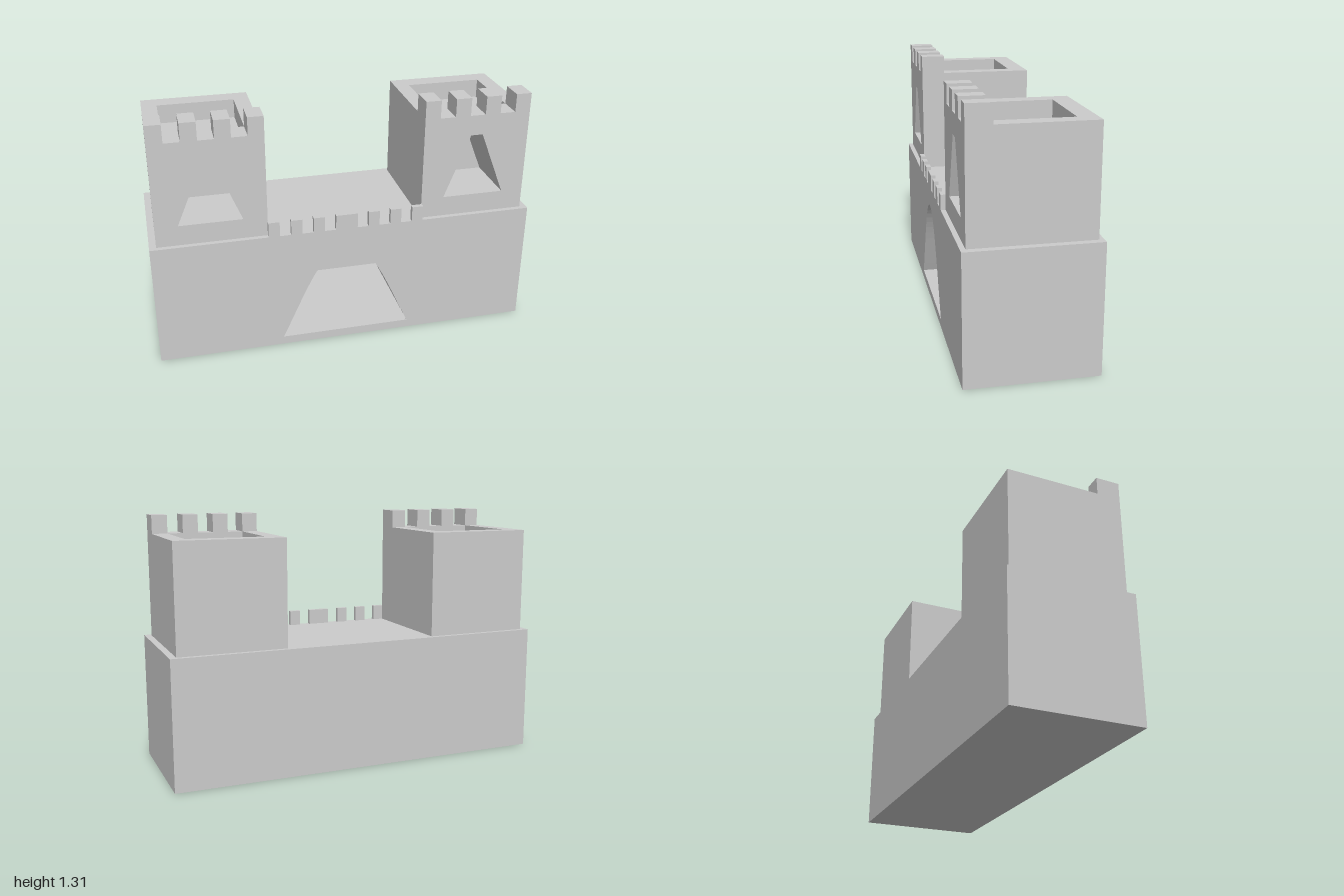
import * as THREE from 'three';

const mat = new THREE.MeshStandardMaterial({ color: 0xcccccc, flatShading: true });

const BASE_H = 0.665, BASE_Z = 0.33;   // gatehouse block
const FLOOR_Y = 1.115, RIM_Y = 1.215;  // tower roof floor and parapet top
const TOWER_Z = 0.305, TOWER_IN = 0.405, TOWER_OUT = 0.965;

function add(group, name, geometry) {
  const mesh = new THREE.Mesh(geometry, mat);
  mesh.name = name;
  group.add(mesh);
  return mesh;
}

// Box given by its two extremes on each axis
function block(group, name, x0, x1, y0, y1, z0, z1) {
  const mesh = add(group, name, new THREE.BoxGeometry(x1 - x0, y1 - y0, z1 - z0));
  mesh.position.set((x0 + x1) / 2, (y0 + y1) / 2, (z0 + z1) / 2);
  return mesh;
}

function polygon(points) {
  return new THREE.Shape(points.map(([x, y]) => new THREE.Vector2(x, y)));
}

function rect(x0, x1, y0, y1) {
  return polygon([[x0, y0], [x1, y0], [x1, y1], [x0, y1]]);
}

// Rectangle with one opening, extruded along z
function pierced(outer, hole, depth) {
  outer.holes.push(hole);
  return new THREE.ExtrudeGeometry(outer, { depth, bevelEnabled: false, curveSegments: 16 });
}

function createBase() {
  const base = new THREE.Group();
  base.name = 'base';
  const backZ = -0.29;

  // Front body with the deep arched gateway
  const arch = new THREE.Path();
  arch.moveTo(-0.345, 0.045);
  arch.bezierCurveTo(-0.215, 0.318, -0.137, 0.56, 0, 0.56);
  arch.bezierCurveTo(0.137, 0.56, 0.215, 0.318, 0.345, 0.045);
  arch.closePath();
  add(base, 'gatewayWall', pierced(rect(-1, 1, 0, BASE_H), arch, BASE_Z - backZ)).position.z = backZ;

  // Closed back of the gateway
  block(base, 'backWall', -1, 1, 0, BASE_H, -BASE_Z, backZ);

  // Thin battlements between the towers, wider in the middle
  for (let i = -3; i <= 3; i++) {
    const half = i === 0 ? 0.057 : 0.029;
    const x = i === 0 ? 0 : Math.sign(i) * (0.145 + 0.1165 * (Math.abs(i) - 1));
    block(base, 'wallMerlon', x - half, x + half, BASE_H, 0.745, TOWER_Z, BASE_Z);
  }
  return base;
}

function createTower(name, x0, x1, windowPoints) {
  const tower = new THREE.Group();
  tower.name = name;

  // Front half with the tapered window recess, solid rear half
  add(tower, 'windowWall', pierced(rect(x0, x1, BASE_H, FLOOR_Y), polygon(windowPoints), TOWER_Z));
  block(tower, 'rearBody', x0, x1, BASE_H, FLOOR_Y, -TOWER_Z, 0);

  // Parapet around the sunken roof (shape y becomes -z)
  const rim = add(tower, 'parapet', pierced(
    rect(x0, x1, -TOWER_Z, TOWER_Z),
    rect(x0 + 0.08, x1 - 0.08, -0.18, 0.21),
    RIM_Y - FLOOR_Y));
  rim.rotation.x = -Math.PI / 2;
  rim.position.y = FLOOR_Y;

  // Four merlons along the front edge
  const w = 0.08, step = (x1 - x0 - w) / 3;
  for (let i = 0; i < 4; i++) {
    const x = x0 + i * step;
    block(tower, 'towerMerlon', x, x + w, RIM_Y, 1.31, 0.18, TOWER_Z);
  }
  return tower;
}

export function createModel() {
  const castle = new THREE.Group();
  castle.name = 'castle';
  castle.add(
    createBase(),
    createTower('rightTower', -TOWER_OUT, -TOWER_IN,
      [[-0.85, 0.772], [-0.527, 0.772], [-0.655, 1.088], [-0.717, 1.088]]),
    createTower('leftTower', TOWER_IN, TOWER_OUT,
      [[0.525, 0.772], [0.85, 0.772], [0.717, 1.108], [0.655, 1.108]]),
  );
  return castle;
}
